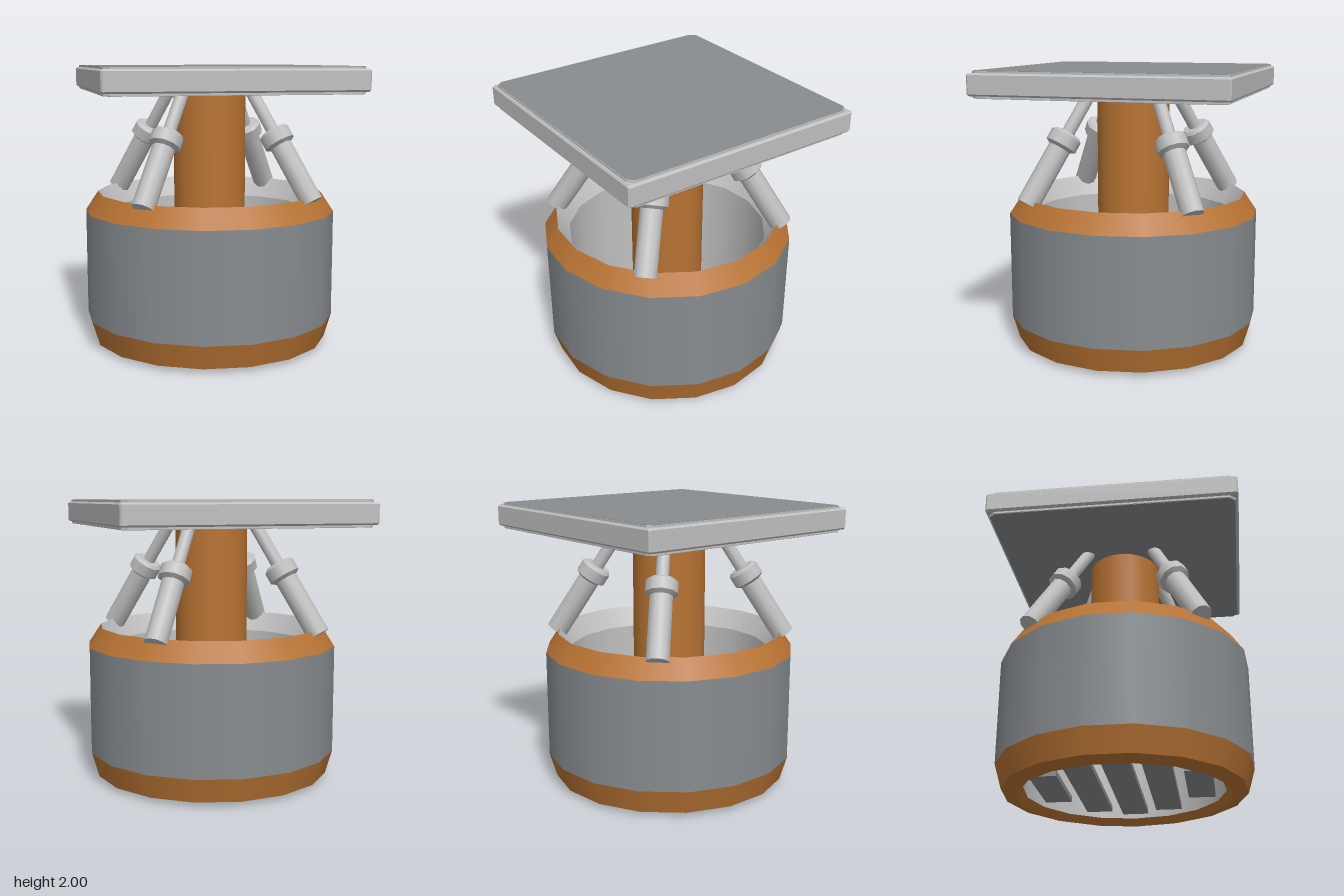
import * as THREE from 'three';
import { mergeGeometries } from 'three/addons/utils/BufferGeometryUtils.js';

const flat = (name, color) => {
  const m = new THREE.MeshStandardMaterial({ color });
  m.name = name;
  return m;
};

const SIDES = 17;

// Revolved bands, smooth around the axis and sharp between profile segments
function bands(points, sides = SIDES) {
  const parts = [];
  for (let i = 0; i < points.length - 1; i++) {
    const pair = [points[i], points[i + 1]].map(([r, y]) => new THREE.Vector2(r, y));
    parts.push(new THREE.LatheGeometry(pair, sides, Math.PI / 2));
  }
  return mergeGeometries(parts);
}

// Horizontal square plate with cut corners, from y0 to y1
function plate(half, cut, y0, y1, bevel = 0) {
  const h = half - bevel, c = h - cut;
  const outline = [[h, -c], [h, c], [c, h], [-c, h], [-h, c], [-h, -c], [-c, -h], [c, -h]];
  const shape = new THREE.Shape(outline.map(([x, y]) => new THREE.Vector2(x, y)));
  const geo = new THREE.ExtrudeGeometry(shape, {
    depth: y1 - y0 - 2 * bevel, bevelEnabled: bevel > 0,
    bevelSize: bevel, bevelThickness: bevel, bevelSegments: 1,
  });
  return geo.rotateX(-Math.PI / 2).translate(0, y0 + bevel, 0);
}

export function createModel() {
  const copper = flat('copper', 0xb87333);
  const grey = flat('grey', 0x888c8f);
  const silver = flat('silver', 0xc0c0c0);

  const model = new THREE.Group();
  const add = (name, geo, mat, parent = model) => {
    const mesh = new THREE.Mesh(geo, mat);
    mesh.name = name;
    parent.add(mesh);
    return mesh;
  };

  // Drum base: copper foot and shoulder, grey band, silver lining
  add('foot', bands([[0.70, 0.05], [0.745, 0], [0.85, 0.03], [0.9, 0.2]]), copper);
  add('band', bands([[0.9, 0.2], [0.9, 0.965]]), grey);
  add('shoulder', bands([[0.9, 0.965], [0.81, 1.1]]), copper);
  add('lining', bands([[0.81, 1.1], [0.72, 0.96], [0.70, 0.05]]), silver);

  // Grille slats across the open underside
  for (let i = -2; i <= 2; i++) {
    const z = i * 0.26;
    const half = Math.sqrt(0.69 ** 2 - (Math.abs(z) + 0.1) ** 2);
    add('grilleSlat', new THREE.BoxGeometry(2 * half, 0.04, 0.19).translate(0, 0.1, z), grey);
  }

  // Central column
  add('column', bands([[0, 0.45], [0.259, 0.45], [0.259, 1.8], [0.235, 1.82]], 20), copper);

  // Four pistons leaning inward on the diagonals
  const up = new THREE.Vector3(0, 1, 0);
  for (const sx of [-1, 1]) {
    for (const sz of [-1, 1]) {
      const foot = new THREE.Vector3(sx * 0.585, 1.075, sz * 0.585);
      const head = new THREE.Vector3(sx * 0.24, 1.83, sz * 0.24);
      const axis = head.clone().sub(foot);
      const length = axis.length();
      const piston = new THREE.Group();
      piston.name = 'piston';
      piston.position.copy(foot);
      piston.quaternion.setFromUnitVectors(up, axis.normalize());
      model.add(piston);
      add('sleeve', bands([[0, 0], [0.08, 0], [0.08, 0.47]], 10), silver, piston);
      add('collar', bands([[0.08, 0.45], [0.113, 0.47], [0.113, 0.55], [0.09, 0.57], [0, 0.57]], 10),
        silver, piston);
      add('rod', bands([[0.046, 0.56], [0.046, length]], 10), silver, piston);
    }
  }

  // Square platform: bevelled frame, raised core and grey faces
  add('platformFrame', plate(0.8775, 0.006, 1.835, 1.985, 0.012), silver);
  add('platformCore', plate(0.858, 0.04, 1.821, 1.998), silver);
  add('platformTop', plate(0.853, 0.04, 1.996, 2.0), grey);
  add('platformUnderside', plate(0.853, 0.04, 1.818, 1.823), grey);

  // Centre the odd-sided drum
  model.children.forEach((part) => { part.position.x -= 0.0075; });
  return model;
}
